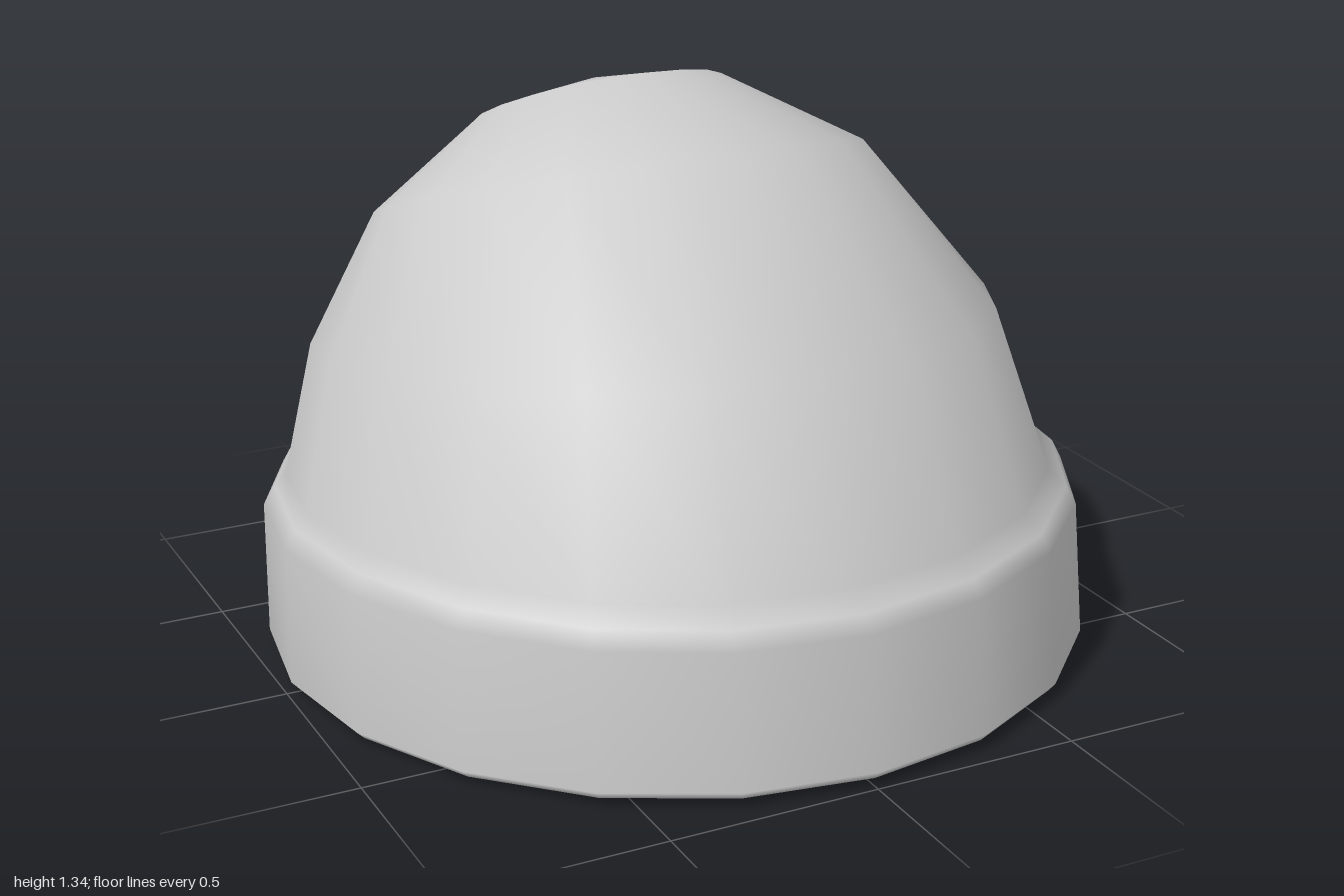
import * as THREE from 'three';

const SIDES = 20;

// Each ring: [front z, front y, back z, back y, half width, lift of the sides].
// The rings run from the crown point down to the hem and back up along the lining.
const POINT = [-0.44, 1.26, -0.44, 1.26, 0, 0];
const CROWN = [
  [-0.13, 1.34, -0.70, 1.08, 0.31, 0],
  [0.28, 1.24, -0.88, 0.83, 0.60, 0.01],
  [0.72, 0.84, -0.955, 0.59, 0.82, 0.035],
  [0.885, 0.43, -0.955, 0.37, 0.92, 0.025],
];
const CUFF = [
  [0.935, 0.39, -0.965, 0.365, 0.955, 0.02],
  [0.96, 0.35, -1.0, 0.31, 0.98, 0.02],
  [1.0, 0.04, -0.985, 0.02, 0.99, 0],
  [0.985, 0.02, -0.97, 0.0, 0.97, 0],
  [0.93, 0.02, -0.91, 0.0, 0.91, 0],
  [0.90, 0.05, -0.885, 0.03, 0.885, 0],
  [0.87, 0.34, -0.90, 0.31, 0.885, 0.02],
];
// Lining: the crown rings pulled inward by the cloth thickness
const T = 0.08;
const inset = ([fz, fy, bz, by, w, lift], i) => {
  const drop = T * [0.9, 0.7, 0.4, 0.2][i];
  return [fz - T, fy - drop, bz + T, by - drop / 2, w - T, lift];
};
const LINING = CROWN.map(inset).reverse();
const LINING_POINT = [-0.41, 1.18, -0.41, 1.18, 0, 0];

const RINGS = [POINT, ...CROWN, ...CUFF, ...LINING, LINING_POINT];

function ringPoints([fz, fy, bz, by, w, lift]) {
  const points = [];
  for (let k = 0; k < SIDES; k++) {
    const a = (k / SIDES) * Math.PI * 2;
    const c = Math.cos(a);
    const s = Math.sin(a);
    points.push(
      w * s,
      (fy + by) / 2 + ((fy - by) / 2) * c + lift * s * s,
      (fz + bz) / 2 + ((fz - bz) / 2) * c,
    );
  }
  return points;
}

// Triangles joining ring i to ring i + 1 for i in [from, to)
function strip(from, to) {
  const id = (i, k) => i * SIDES + (RINGS[i][4] === 0 ? 0 : k % SIDES);
  const index = [];
  for (let i = from; i < to; i++) {
    for (let k = 0; k < SIDES; k++) {
      const a = id(i, k), b = id(i + 1, k), c = id(i + 1, k + 1), d = id(i, k + 1);
      if (b !== c) index.push(a, b, c);
      if (a !== d) index.push(a, c, d);
    }
  }
  return index;
}

export function createModel() {
  const group = new THREE.Group();
  group.name = 'knitCap';
  const material = new THREE.MeshStandardMaterial({ color: 0xcccccc });

  // Shared vertices keep the shading smooth from crown to cuff
  const cloth = new THREE.BufferGeometry();
  cloth.setAttribute('position', new THREE.Float32BufferAttribute(RINGS.flatMap(ringPoints), 3));
  cloth.setIndex(strip(0, RINGS.length - 1));
  cloth.computeVertexNormals();

  const addPart = (name, from, to) => {
    const geometry = cloth.clone();
    geometry.setIndex(strip(from, to));
    const mesh = new THREE.Mesh(geometry, material);
    mesh.name = name;
    group.add(mesh);
  };

  const cuffStart = CROWN.length;
  const cuffEnd = cuffStart + CUFF.length + 1;
  addPart('crown', 0, cuffStart);
  addPart('foldedCuff', cuffStart, cuffEnd);
  addPart('lining', cuffEnd, RINGS.length - 1);

  return group;
}
